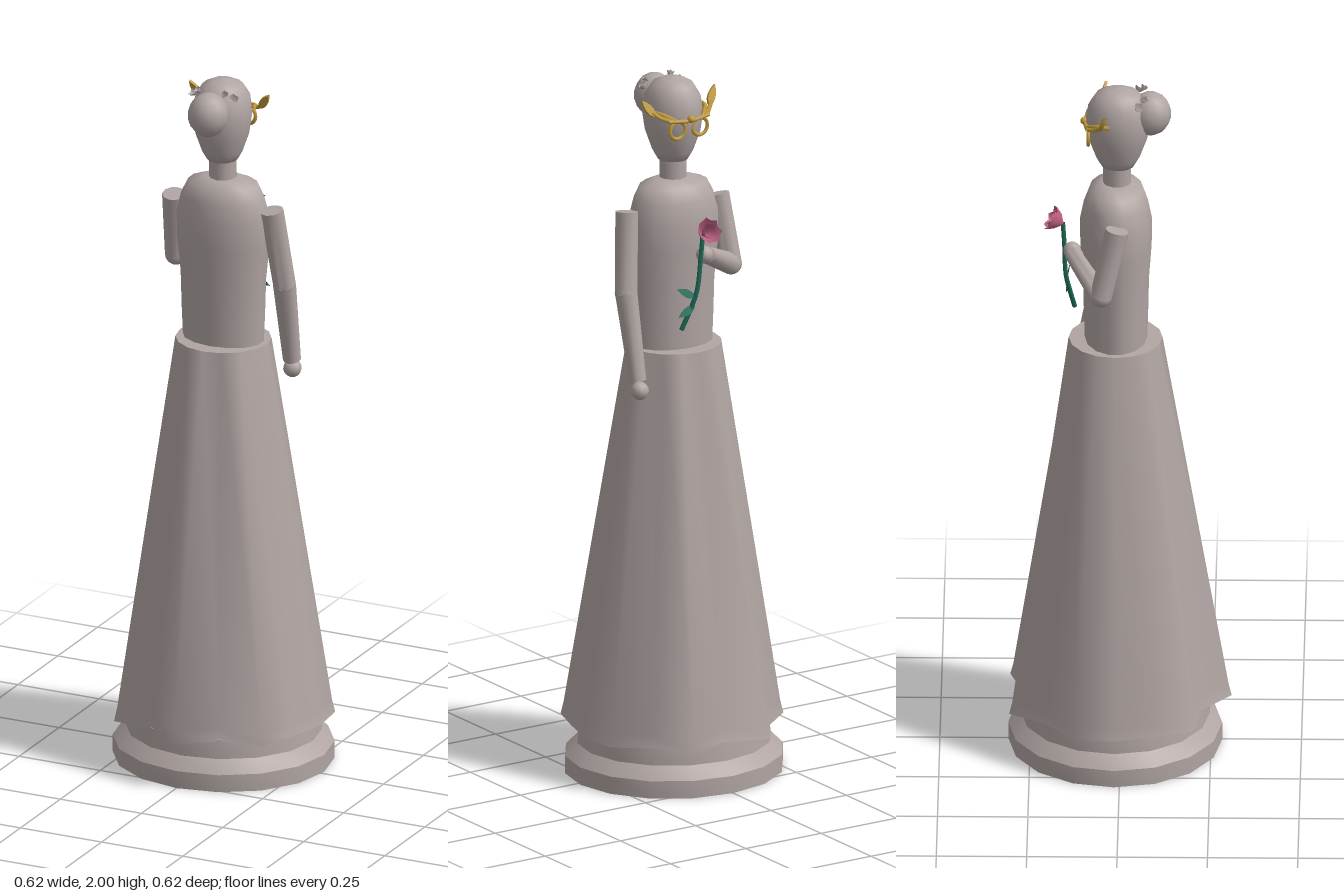
import * as THREE from 'three';
import { toCreasedNormals } from 'three/addons/utils/BufferGeometryUtils.js';

const mat = (name, color, side = THREE.FrontSide) => {
  const m = new THREE.MeshStandardMaterial({ color, side });
  m.name = name;
  return m;
};
const V = (x, y, z) => new THREE.Vector3(x, y, z);

// Skin between closed rings of points, listed from bottom to top
function loft(rings) {
  const n = rings[0].length, pos = [], idx = [];
  rings.forEach(r => r.forEach(p => pos.push(p.x, p.y, p.z)));
  for (let i = 0; i < rings.length - 1; i++) {
    for (let j = 0; j < n; j++) {
      const a = i * n + j, b = i * n + (j + 1) % n;
      idx.push(a, b, a + n, b, b + n, a + n);
    }
  }
  const g = new THREE.BufferGeometry();
  g.setAttribute('position', new THREE.Float32BufferAttribute(pos, 3));
  g.setIndex(idx);
  g.computeVertexNormals();
  return g;
}

const ellipse = (n, y, rx, rz, cz = 0) => Array.from({ length: n }, (_, i) => {
  const a = i / n * Math.PI * 2;
  return V(Math.sin(a) * rx, y, Math.cos(a) * rz + cz);
});

// Elliptical turned form from [radius, y] pairs
function turned(profile, sides, depth, crease) {
  const g = new THREE.LatheGeometry(profile.map(p => new THREE.Vector2(...p)), sides);
  g.scale(1, 1, depth);
  return crease ? toCreasedNormals(g, crease) : g;
}

// Cup of pointed petals opening along +y
function blossom(r, h, petals) {
  const n = petals * 2;
  const rim = ellipse(n, h, r, r).map((p, i) => i % 2 ? V(p.x * 0.86, h * 0.8, p.z * 0.86) : p);
  return loft([ellipse(n, 0, r * 0.1, r * 0.1), ellipse(n, h * 0.4, r * 0.62, r * 0.62), rim]);
}

export function createModel() {
  const root = new THREE.Group();
  const stone = mat('stone', 0xb0a5a3);
  const cloth = mat('stoneCloth', 0xb0a5a3, THREE.DoubleSide);
  const gold = mat('gold', 0xc09a3c);
  const pink = mat('rosePink', 0xbd5f82, THREE.DoubleSide);
  const green = mat('stemGreen', 0x1f6e5a, THREE.DoubleSide);

  const add = (name, geometry, material, x = 0, y = 0, z = 0, parent = root) => {
    const m = new THREE.Mesh(geometry, material);
    m.name = name;
    m.position.set(x, y, z);
    parent.add(m);
    return m;
  };
  const limb = (name, a, b, r1, r2, material = stone, sides = 10) => {
    const d = b.clone().sub(a);
    const g = toCreasedNormals(new THREE.CylinderGeometry(r2, r1, d.length(), sides), 0.9);
    const m = add(name, g, material);
    m.position.copy(a).addScaledVector(d, 0.5);
    m.quaternion.setFromUnitVectors(V(0, 1, 0), d.normalize());
    return m;
  };
  const tube = (name, pts, r, material, steps = 14) =>
    add(name, new THREE.TubeGeometry(new THREE.CatmullRomCurve3(pts), steps, r, 6), material);

  // Pedestal
  add('pedestal', turned([[0, 0], [0.31, 0], [0.31, 0.05], [0.275, 0.085], [0.27, 0.14], [0, 0.14]],
    16, 0.955, 0.6), stone, 0, 0, -0.015);

  // Skirt with a folded hem: half outline from back to front, mirrored
  const half = [[0, 0.307], [0.102, 0.221], [0.229, 0.207], [0.265, 0.1], [0.298, -0.014],
    [0.288, -0.129], [0.19, -0.205], [0.127, -0.307], [0, -0.266]];
  const outline = [...half, ...half.slice(1, -1).reverse().map(([x, z]) => [-x, z])];
  const hem = (y, s) => outline.map(([x, z]) => V(x * s, y, z * s));
  const waist = ellipse(16, 1.235, 0.134, 0.13, -0.014);
  add('skirt', loft([hem(0.135, 1), hem(0.17, 0.972), waist]), cloth);
  add('waistband', loft([waist, ellipse(16, 1.237, 0.09, 0.07, -0.014)]), cloth);

  // Bodice, neck and head
  add('bodice', turned([[0.118, 1.225], [0.122, 1.32], [0.125, 1.42], [0.135, 1.52], [0.137, 1.6],
    [0.122, 1.655], [0.102, 1.695], [0.055, 1.712], [0, 1.714]], 14, 0.73), stone, 0, 0, -0.013);
  add('neck', new THREE.CylinderGeometry(0.038, 0.039, 0.11, 10), stone, 0, 1.75, -0.01);
  add('head', turned([[0, 1.757], [0.042, 1.765], [0.056, 1.79], [0.075, 1.845], [0.083, 1.9],
    [0.076, 1.95], [0.056, 1.983], [0.028, 1.997], [0, 2]], 14, 1.08), stone, 0, 0, -0.008);
  const bun = add('hairBun', new THREE.SphereGeometry(0.06, 12, 9), stone, 0, 1.924, 0.082);
  bun.scale.set(0.95, 1.05, 0.97);

  // Small blossoms in the hair
  for (const s of [-1, 1]) {
    for (const [x, y, z, r] of [[0.056, 1.961, 0.045, 0.015], [0.036, 1.976, 0.06, 0.011]]) {
      const f = add('hairBlossom', blossom(r, 0.016, 5), cloth, s * x, y, z);
      f.quaternion.setFromUnitVectors(V(0, 1, 0), V(s * 0.5, 0.75, 0.45).normalize());
    }
  }

  // Gold face ornament: temple bands, scrolls and leaves
  add('browBead', new THREE.SphereGeometry(0.011, 8, 6), gold, 0, 1.9, -0.101);
  tube('browBar', [V(-0.066, 1.9, -0.09), V(0, 1.895, -0.098), V(0.066, 1.9, -0.09)], 0.006, gold);
  const leafShape = new THREE.Shape();
  leafShape.moveTo(0, 0);
  leafShape.quadraticCurveTo(0.026, 0.02, 0.005, 0.065);
  leafShape.quadraticCurveTo(-0.02, 0.03, 0, 0);
  const leafGeo = new THREE.ExtrudeGeometry(leafShape, { depth: 0.008, bevelEnabled: false, curveSegments: 5 });
  for (const s of [-1, 1]) {
    add('scroll', new THREE.TorusGeometry(0.025, 0.0055, 6, 16), gold, s * 0.037, 1.871, -0.089);
    tube('templeBand', [V(s * 0.083, 1.915, -0.03), V(s * 0.072, 1.915, -0.062), V(s * 0.045, 1.9, -0.092)], 0.007, gold);
    tube('leafStalk', [V(s * 0.06, 1.9, -0.088), V(s * 0.082, 1.91, -0.068), V(s * 0.098, 1.925, -0.055)], 0.006, gold);
    const leaf = add('templeLeaf', leafGeo, gold, s * 0.088, 1.912, -0.063);
    leaf.rotation.set(0.35, 0, -s * 0.55);
  }

  // Lowered left arm
  const ls = V(0.152, 1.635, -0.008), le = V(0.175, 1.41, -0.04), lw = V(0.172, 1.17, -0.093);
  limb('leftUpperArm', ls, le, 0.033, 0.032);
  limb('leftForearm', le, lw, 0.032, 0.025);
  add('leftElbow', new THREE.SphereGeometry(0.032, 10, 8), stone, le.x, le.y, le.z);
  add('leftHand', new THREE.SphereGeometry(0.026, 10, 8), stone, 0.17, 1.142, -0.1);

  // Right arm bent across the chest
  const rs = V(-0.15, 1.635, -0.008), re = V(-0.165, 1.44, -0.052), rw = V(-0.03, 1.51, -0.134);
  limb('rightUpperArm', rs, re, 0.033, 0.031);
  limb('rightForearm', re, rw, 0.031, 0.024);
  add('rightElbow', new THREE.SphereGeometry(0.031, 10, 8), stone, re.x, re.y, re.z);
  add('rightHand', new THREE.SphereGeometry(0.025, 10, 8), stone, rw.x + 0.006, rw.y + 0.002, rw.z);

  // Rose with stem and leaves
  tube('roseStem', [V(0, 1.585, -0.16), V(0.004, 1.52, -0.156), V(0.014, 1.42, -0.152),
    V(0.03, 1.36, -0.14), V(0.05, 1.305, -0.128)], 0.007, green);
  const rose = new THREE.Group();
  rose.name = 'rose';
  rose.position.set(0, 1.582, -0.16);
  rose.quaternion.setFromUnitVectors(V(0, 1, 0), V(0, 0.5, -0.87).normalize());
  root.add(rose);
  add('outerPetals', blossom(0.038, 0.042, 7), pink, 0, 0, 0, rose);
  add('innerPetals', blossom(0.024, 0.04, 5), pink, 0, 0.004, 0, rose).rotation.y = 0.4;
  for (const [y, z, turn] of [[1.4, -0.15, -1.0], [1.375, -0.145, -1.9]]) {
    const l = add('stemLeaf', new THREE.ShapeGeometry(leafShape, 5), green, 0.016, y, z);
    l.rotation.set(0.3, 0, turn);
  }
  return root;
}
